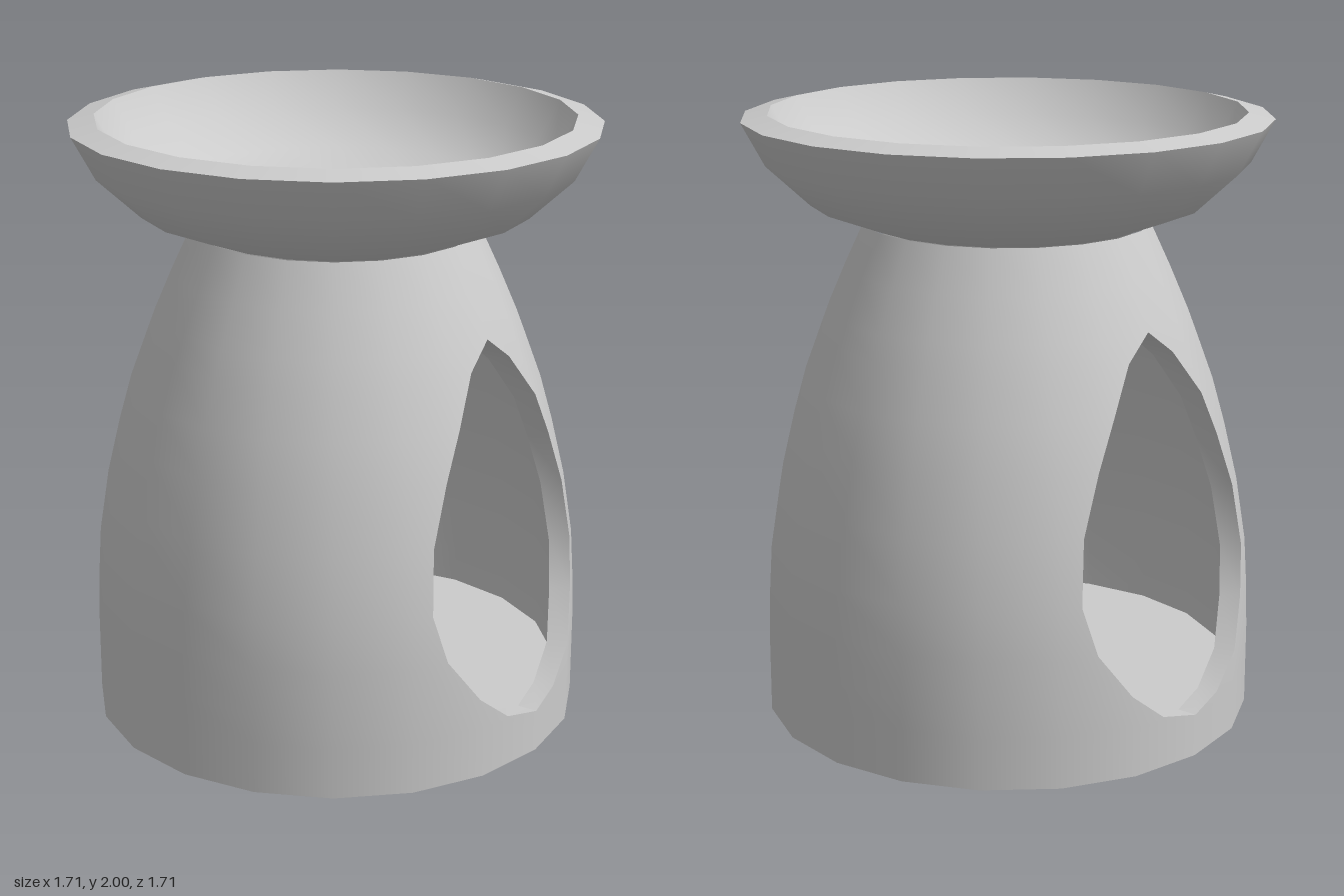
import * as THREE from 'three';

const SIDES = 20;
const STEP = (Math.PI * 2) / SIDES;
const WALL = 0.07;

// Body rows: height, outer radius, half width of the teardrop opening
const ROWS = [
  [0, 0.81, 0], [0.14, 0.81, 0], [0.17, 0.81, 0.14], [0.27, 0.81, 0.265],
  [0.42, 0.805, 0.37], [0.58, 0.795, 0.41], [0.79, 0.762, 0.38], [0.98, 0.717, 0.3],
  [1.13, 0.675, 0.22], [1.28, 0.62, 0.11], [1.36, 0.59, 0], [1.5, 0.53, 0], [1.64, 0.465, 0],
];

const material = new THREE.MeshStandardMaterial({ color: 0xcccccc });

function addMesh(parent, name, geometry) {
  const mesh = new THREE.Mesh(geometry, material);
  mesh.name = name;
  parent.add(mesh);
}

function addLathe(parent, name, profile) {
  const points = profile.map(([x, y]) => new THREE.Vector2(x, y));
  addMesh(parent, name, new THREE.LatheGeometry(points, SIDES));
}

// Quad grid from rows of points; normals are computed unless given
function gridGeometry(rows, normals) {
  const cols = rows[0].length;
  const index = [];
  for (let r = 0; r < rows.length - 1; r++) {
    for (let c = 0; c < cols - 1; c++) {
      const a = r * cols + c;
      index.push(a, a + 1, a + cols, a + 1, a + cols + 1, a + cols);
    }
  }
  const g = new THREE.BufferGeometry();
  g.setAttribute('position', new THREE.Float32BufferAttribute(rows.flat().flatMap((p) => p.toArray()), 3));
  g.setIndex(index);
  if (normals) g.setAttribute('normal', new THREE.Float32BufferAttribute(normals.flat().flatMap((n) => n.toArray()), 3));
  else g.computeVertexNormals();
  return g;
}

// Point on the many-sided body, on its outer or inner face
function wallPoint([y, radius], angle, inner) {
  const within = angle - Math.floor(angle / STEP + 1e-6) * STEP;
  const r = ((inner ? radius - WALL : radius) * Math.cos(STEP / 2)) / Math.cos(within - STEP / 2);
  return new THREE.Vector3(r * Math.sin(angle), inner ? y * 0.985 : y, r * Math.cos(angle));
}

function wallNormal(i, angle, sign) {
  const a = ROWS[Math.max(i - 1, 0)];
  const b = ROWS[Math.min(i + 1, ROWS.length - 1)];
  const slope = (a[1] - b[1]) / (b[0] - a[0]);
  return new THREE.Vector3(Math.sin(angle), slope, Math.cos(angle)).normalize().multiplyScalar(sign);
}

// Column angles of one side panel, held back to the edges of the openings
function panelAngles([, radius, half], start) {
  const edge = Math.asin(half / radius);
  return Array.from({ length: SIDES / 2 + 1 }, (_, k) =>
    start + THREE.MathUtils.clamp(k * STEP, edge, Math.PI - edge));
}

function addPanel(parent, side, start) {
  // Outer and inner faces
  for (const inner of [false, true]) {
    const points = [];
    const normals = [];
    ROWS.forEach((row, i) => {
      if (inner && i === 0) return;
      const angles = panelAngles(row, start);
      if (inner) angles.reverse();
      points.push(angles.map((t) => wallPoint(row, t, inner)));
      normals.push(angles.map((t) => wallNormal(i, t, inner ? -1 : 1)));
    });
    addMesh(parent, side + (inner ? 'InnerWall' : 'OuterWall'), gridGeometry(points, normals));
  }
  // Edges of the openings, through the thickness of the wall
  const holeRows = ROWS.slice(1, 11);
  for (const last of [false, true]) {
    const points = holeRows.map((row) => {
      const angle = panelAngles(row, start)[last ? SIDES / 2 : 0];
      const pair = [wallPoint(row, angle, true), wallPoint(row, angle, false)];
      return last ? pair.reverse() : pair;
    });
    addMesh(parent, side + (last ? 'OpeningEdgeB' : 'OpeningEdgeA'), gridGeometry(points));
  }
}

export function createModel() {
  const model = new THREE.Group();
  model.name = 'oilBurner';

  // Hollow body with a teardrop opening at front and back
  const body = new THREE.Group();
  body.name = 'body';
  addPanel(body, 'left', 0);
  addPanel(body, 'right', Math.PI);
  addLathe(body, 'baseUnderside', [[0, 0], [0.81, 0]]);
  addLathe(body, 'chamberFloor', [[0.745, 0.138], [0, 0.138]]);
  addLathe(body, 'chamberCeiling', [[0, 1.612], [0.46, 1.612]]);
  model.add(body);

  // Shallow dish on top
  const dish = new THREE.Group();
  dish.name = 'dish';
  addLathe(dish, 'dishOutside', [[0.455, 1.64], [0.64, 1.71], [0.78, 1.84], [0.855, 1.98]]);
  addLathe(dish, 'dishRim', [[0.855, 1.98], [0.77, 2]]);
  addLathe(dish, 'dishInside', [[0.77, 2], [0.7, 1.88], [0.57, 1.77], [0.38, 1.71], [0, 1.69]]);
  model.add(dish);

  return model;
}
